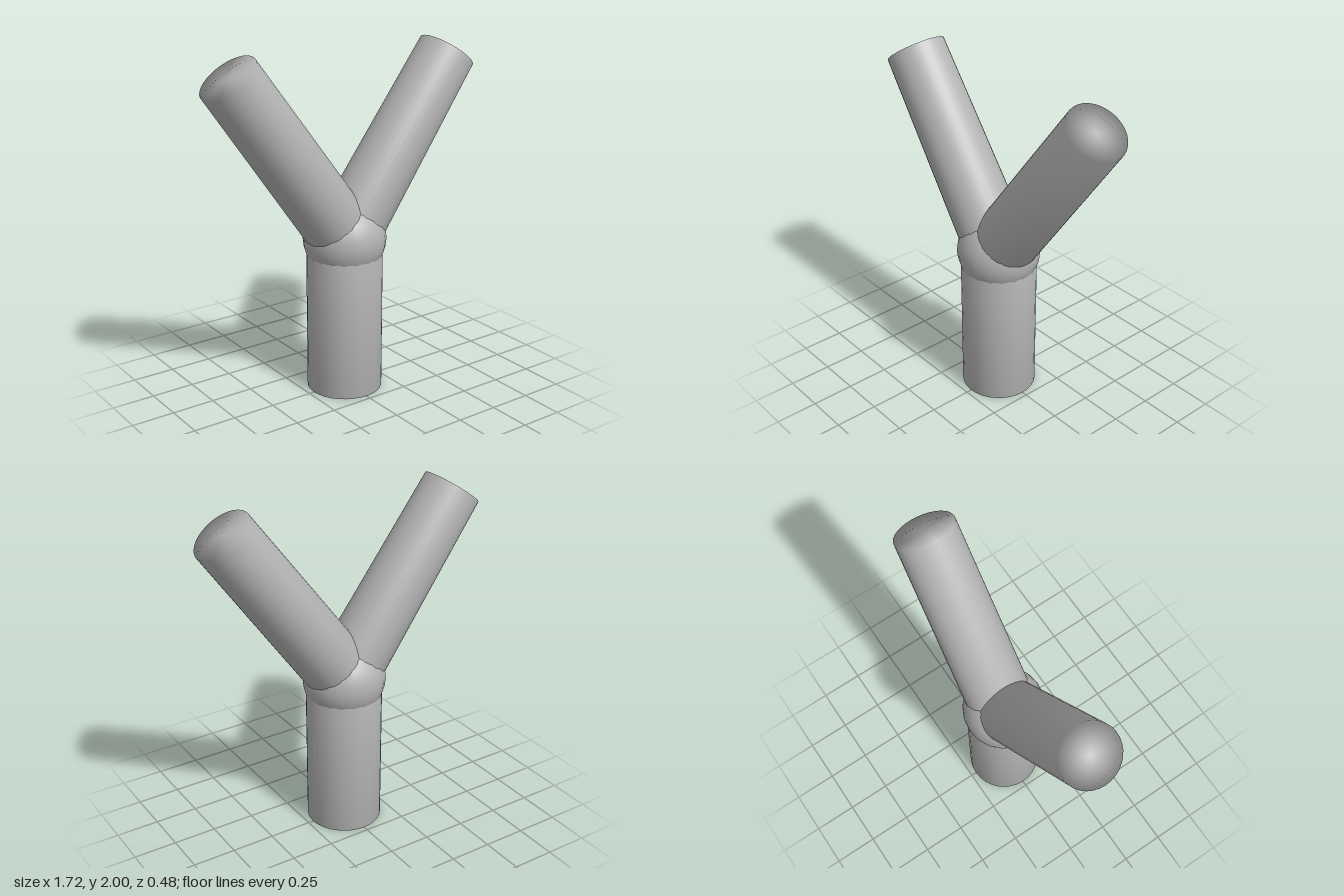
import * as THREE from 'three';
import { mergeVertices } from 'three/addons/utils/BufferGeometryUtils.js';

const gray = new THREE.MeshStandardMaterial({ color: 0xb4b4b4 });
gray.name = 'plain gray';

// Capped cylinder between two points, welded so the caps shade smoothly into the wall
function limb(name, start, end, startRadius, endRadius, sides) {
  const axis = end.clone().sub(start);
  let geometry = new THREE.CylinderGeometry(endRadius, startRadius, axis.length(), sides);
  geometry.deleteAttribute('normal');
  geometry.deleteAttribute('uv');
  geometry = mergeVertices(geometry, 1e-4);
  geometry.computeVertexNormals();
  const mesh = new THREE.Mesh(geometry, gray);
  mesh.name = name;
  mesh.position.copy(start).add(end).multiplyScalar(0.5);
  mesh.quaternion.setFromUnitVectors(new THREE.Vector3(0, 1, 0), axis.normalize());
  return mesh;
}

export function createModel() {
  const model = new THREE.Group();
  model.name = 'forkedPost';
  const fork = new THREE.Vector3(0, 0.908, 0);

  // Upright stem
  model.add(limb('stem', new THREE.Vector3(0, 0, 0), fork, 0.218, 0.218, 32));

  // Ball joint where the limbs meet
  const joint = new THREE.Mesh(new THREE.SphereGeometry(0.238, 20, 16), gray);
  joint.name = 'joint';
  joint.position.copy(fork);
  model.add(joint);

  // Two slightly tapering branches, mirrored left and right
  for (const side of [1, -1]) {
    const tip = new THREE.Vector3(side * 0.722, 1.9, 0);
    model.add(limb(side > 0 ? 'leftBranch' : 'rightBranch', fork, tip, 0.19, 0.171, 32));
  }
  return model;
}
